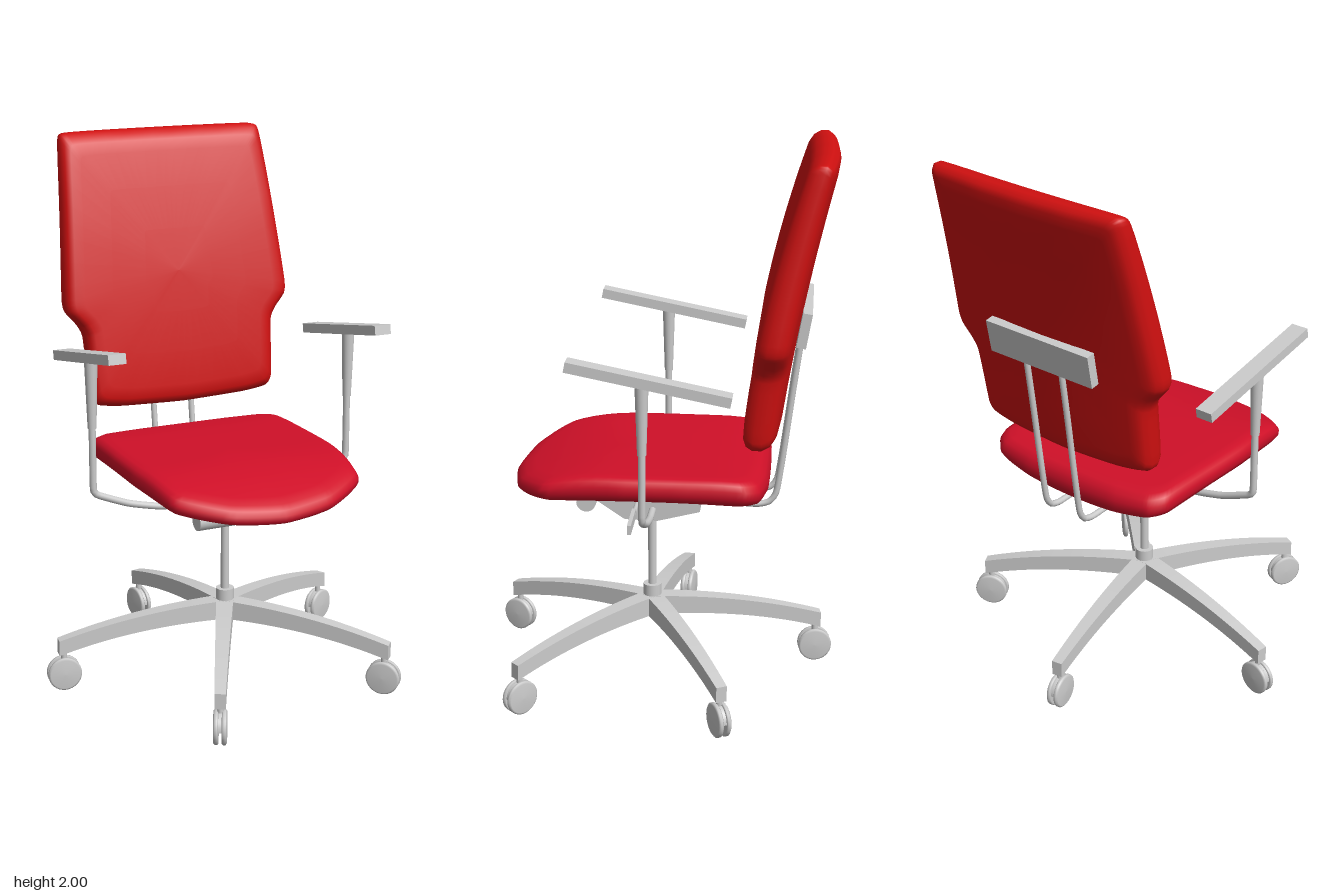
import * as THREE from 'three';

const grey = new THREE.MeshStandardMaterial({ color: 0xcccccc });
const backRed = new THREE.MeshStandardMaterial({ color: 0xd01010 });
const seatRed = new THREE.MeshStandardMaterial({ color: 0xd01028 });

function add(parent, name, geometry, x = 0, y = 0, z = 0, material = grey) {
  const mesh = new THREE.Mesh(geometry, material);
  mesh.name = name;
  mesh.position.set(x, y, z);
  parent.add(mesh);
  return mesh;
}

function tube(points, radius) {
  const path = new THREE.CatmullRomCurve3(points.map(p => new THREE.Vector3(...p)), false, 'catmullrom', 0.3);
  return new THREE.TubeGeometry(path, 48, radius, 12);
}

// Padded cushion: a mirrored outline, shrunk in rings towards both faces.
// place(a, b, t) returns a point between the two faces (t = 0..1).
function cushion(half, centre, place) {
  const mirrored = half.slice(1, -1).reverse().map(([a, b]) => [-a, b]);
  const curve = new THREE.CatmullRomCurve3(
    [...half, ...mirrored].map(([a, b]) => new THREE.Vector3(a, b, 0)), true, 'catmullrom', 0.25);
  const n = 96;
  const outline = curve.getPoints(n).slice(0, n);
  const rings = [[0.001, 0], [0.3, 0], [0.6, 0], [0.85, 0], [0.93, 0.03], [0.975, 0.14], [1, 0.36],
    [1, 0.64], [0.975, 0.86], [0.93, 0.97], [0.85, 1], [0.6, 1], [0.3, 1], [0.001, 1]];
  const positions = [], index = [];
  rings.forEach(([s, t], i) => outline.forEach((p, j) => {
    positions.push(...place(p.x * s, centre + (p.y - centre) * s, t));
    if (i === rings.length - 1) return;
    const k = (j + 1) % n, a = i * n + j, b = i * n + k;
    index.push(a, a + n, b, b, a + n, b + n);
  }));
  const g = new THREE.BufferGeometry();
  g.setAttribute('position', new THREE.Float32BufferAttribute(positions, 3));
  g.setIndex(index);
  g.computeVertexNormals();
  return g;
}

// Tapered, arched leg pointing along +x
function legGeometry() {
  const s = new THREE.Shape();
  s.moveTo(0, 0.22);
  s.quadraticCurveTo(0.36, 0.225, 0.645, 0.14);
  s.lineTo(0.645, 0.198);
  s.quadraticCurveTo(0.34, 0.285, 0, 0.293);
  const g = new THREE.ExtrudeGeometry(s, { depth: 1, bevelEnabled: false, curveSegments: 16 });
  g.translate(0, 0, -0.5);
  const p = g.attributes.position;
  for (let i = 0; i < p.count; i++) p.setZ(i, p.getZ(i) * (0.066 - 0.04 * p.getX(i)));
  g.computeVertexNormals();
  return g;
}

function wheelGeometry() {
  const profile = [[0, -0.009], [0.058, -0.009], [0.063, -0.005], [0.063, 0.004], [0.056, 0.009], [0, 0.011]];
  const g = new THREE.LatheGeometry(profile.map(p => new THREE.Vector2(...p)), 32);
  return g.rotateX(Math.PI / 2);
}

function makeBase() {
  const base = new THREE.Group();
  base.name = 'base';
  base.position.z = 0.033;
  add(base, 'hub', new THREE.CylinderGeometry(0.034, 0.034, 0.115, 24), 0, 0.278);
  add(base, 'column', new THREE.CylinderGeometry(0.016, 0.016, 0.36, 20), 0, 0.5);
  const leg = legGeometry(), wheel = wheelGeometry();
  for (let i = 0; i < 5; i++) {
    const arm = new THREE.Group();
    arm.name = 'legWithCaster';
    arm.rotation.y = -THREE.MathUtils.degToRad(44.5 + 72 * i);
    base.add(arm);
    add(arm, 'leg', leg);
    add(arm, 'casterStem', new THREE.CylinderGeometry(0.011, 0.011, 0.06, 12), 0.625, 0.125);
    // hood over the gap between the two wheels
    const hood = new THREE.CylinderGeometry(0.055, 0.055, 0.012, 24, 1, false, 0, Math.PI);
    hood.rotateX(Math.PI / 2).rotateZ(Math.PI / 2);
    add(arm, 'casterHood', hood, 0.625, 0.066, 0).material = grey;
    add(arm, 'casterAxle', new THREE.CylinderGeometry(0.012, 0.012, 0.03, 12).rotateX(Math.PI / 2), 0.625, 0.064);
    for (const side of [-1, 1]) {
      const w = add(arm, 'wheel', wheel, 0.625, 0.064, side * 0.015);
      if (side < 0) w.rotation.y = Math.PI;
    }
  }
  return base;
}

function makeMechanism() {
  const group = new THREE.Group();
  group.name = 'mechanism';
  // tilt housing, side profile in (z, y)
  const s = new THREE.Shape([[0.25, 0.735], [0.12, 0.648], [0, 0.645], [-0.155, 0.685], [-0.155, 0.785], [0.25, 0.785]]
    .map(p => new THREE.Vector2(...p)));
  const g = new THREE.ExtrudeGeometry(s, { depth: 0.3, bevelEnabled: false });
  g.translate(0, 0, -0.15).rotateY(-Math.PI / 2);
  add(group, 'tiltHousing', g);
  add(group, 'tensionKnob', new THREE.CylinderGeometry(0.036, 0.036, 0.37, 24).rotateZ(Math.PI / 2), -0.035, 0.708, 0.262);
  add(group, 'leverRod', new THREE.CylinderGeometry(0.008, 0.008, 0.14, 10).rotateZ(Math.PI / 2), 0.2, 0.71, 0.075);
  add(group, 'leverPaddle', new THREE.BoxGeometry(0.17, 0.034, 0.014), 0.33, 0.71, 0.075);
  return group;
}

function makeArm(side) {
  const arm = new THREE.Group();
  arm.name = side > 0 ? 'leftArm' : 'rightArm';
  const x = side * 0.517, z = 0.018;
  const path = [[0.517, 1.1], [0.517, 0.95], [0.517, 0.8], [0.512, 0.782], [0.495, 0.768], [0.38, 0.722], [0.25, 0.692], [0.1, 0.685]];
  add(arm, 'armTube', tube(path.map(([a, y]) => [side * a, y, z]), 0.013));
  add(arm, 'armSleeve', new THREE.CylinderGeometry(0.024, 0.016, 0.25, 20), x, 1.15, z);
  const pad = add(arm, 'armPad', new THREE.BoxGeometry(0.065, 0.036, 0.57), x, 1.282, -0.005);
  pad.rotation.x = -0.194;
  return arm;
}

function makeBackSupport() {
  const group = new THREE.Group();
  group.name = 'backSupport';
  for (const x of [-0.08, 0.08]) {
    add(group, 'supportTube', tube([[x, 0.71, -0.12], [x, 0.703, -0.25], [x, 0.698, -0.36], [x, 0.71, -0.405],
      [x, 0.75, -0.43], [x, 0.9, -0.452], [x, 1.15, -0.483], [x, 1.39, -0.515]], 0.0115));
  }
  const plate = add(group, 'supportPlate', new THREE.BoxGeometry(0.46, 0.125, 0.034), 0, 1.395, -0.518);
  plate.rotation.x = -0.17;
  return group;
}

export function createModel() {
  const chair = new THREE.Group();
  chair.name = 'officeChair';
  const body = new THREE.Group();
  body.name = 'chairBody';
  body.position.x = 0.028;
  chair.add(body);
  body.add(makeBase(), makeMechanism(), makeArm(1), makeArm(-1), makeBackSupport());

  // Seat with a drooping front edge and a bowed underside
  const seatOutline = [[0, -0.405], [0.2, -0.402], [0.345, -0.38], [0.395, -0.32], [0.402, -0.1], [0.402, 0.12],
    [0.365, 0.39], [0.2, 0.5], [0, 0.535]];
  const seat = cushion(seatOutline, 0.06, (x, z, t) => {
    const top = 0.892 - 0.6 * Math.max(0, z - 0.15) ** 2 - 0.5 * Math.max(0, -0.2 - z) ** 2;
    const bottom = 0.745 + 0.02 * (1 - (z / 0.5) ** 2) + 0.04 * (x / 0.4) ** 2;
    return [x, bottom + (top - bottom) * t, z];
  });
  add(body, 'seat', seat, 0, 0, 0, seatRed);

  // Reclined backrest, stepped in at the lower sides and wrapping forward slightly
  const backOutline = [[0, 0.97], [0.25, 0.98], [0.35, 0.995], [0.377, 1.03], [0.387, 1.25], [0.41, 1.3], [0.452, 1.35],
    [0.46, 1.4], [0.436, 1.7], [0.412, 1.97], [0.385, 1.998], [0.2, 2], [0, 2]];
  const back = cushion(backOutline, 1.48, (x, y, t) => {
    const d = y - 1, u = (x / 0.45) ** 2;
    const front = -0.315 - 0.09 * d - 0.125 * d * d + 0.01 * u;
    const rear = -0.44 - 0.14 * d - 0.06 * d * d + 0.03 * u;
    return [x, y, front + (rear - front) * t];
  });
  add(body, 'backrest', back, 0, 0, 0, backRed);
  return chair;
}
